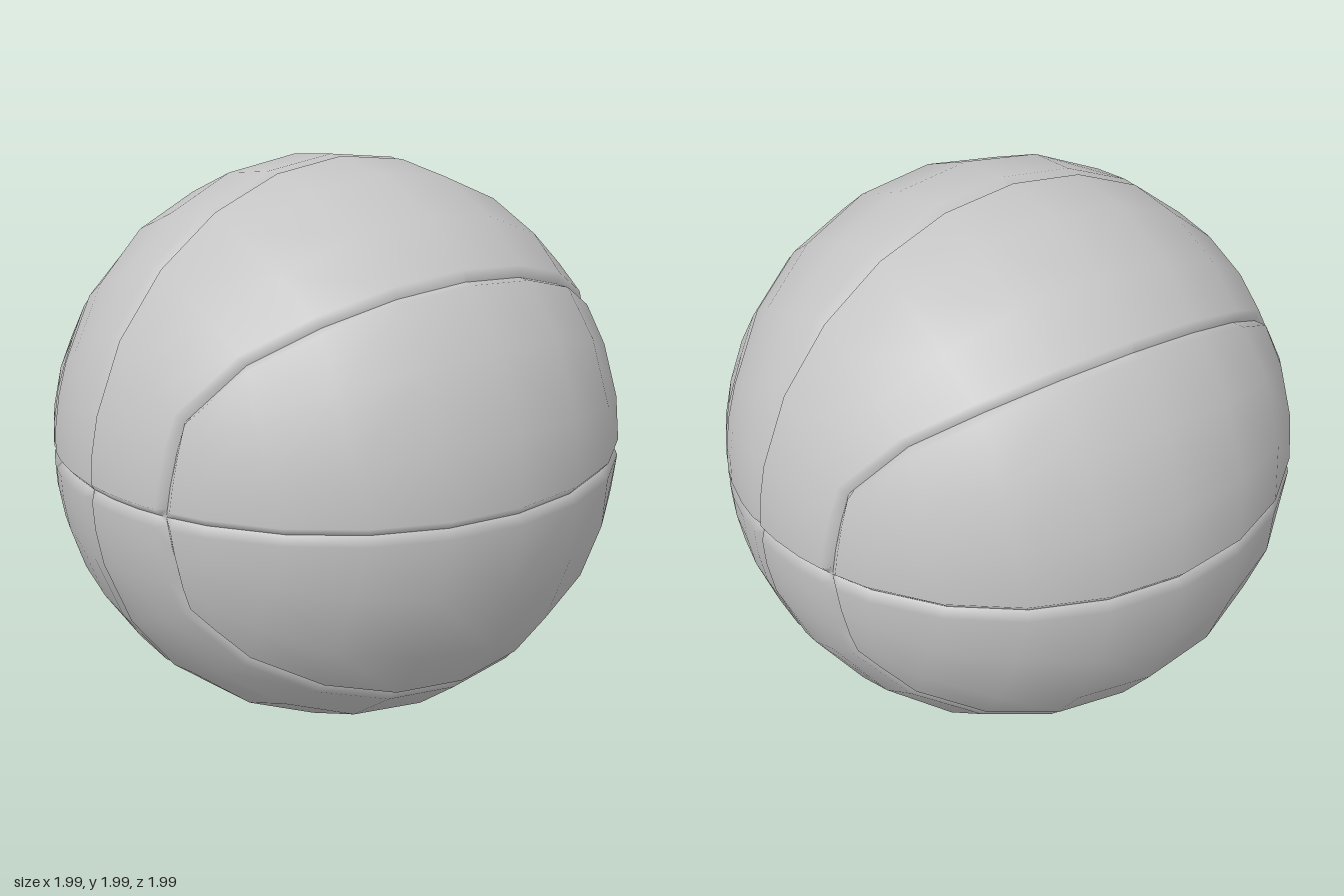
import * as THREE from 'three';

const LIP = 0.03;    // half width of a groove
const FLOOR = 0.97;  // radius at the bottom of a groove
const V = (x, y, z) => new THREE.Vector3(x, y, z);
const rad = THREE.MathUtils.degToRad;

// Point between two directions, on the unit sphere
function mix(a, b, t) {
  if (t === 0) return a.clone();
  if (t === 1) return b.clone();
  return a.clone().lerp(b, t).normalize();
}

// Point a short step from a towards b
const step = (a, b) => a.clone().lerp(b, LIP / a.distanceTo(b));

// Adds a lip beside each grooved border and sinks the border itself
function grooveGrid(rows, g) {
  let out = rows.map((row) => {
    const n = row.length, r = row.slice();
    if (g.right) r.splice(n - 1, 0, step(row[n - 1], row[n - 2]));
    if (g.left) r.splice(1, 0, step(row[0], row[1]));
    return r;
  });
  const n = out.length;
  const first = out[0].map((p, i) => step(p, out[1][i]));
  const last = out[n - 1].map((p, i) => step(p, out[n - 2][i]));
  if (g.top) out.splice(n - 1, 0, last);
  if (g.bottom) out.splice(1, 0, first);
  const R = out.length - 1, C = out[0].length - 1;
  return out.map((row, r) => row.map((p, c) => {
    const sunk = (g.bottom && r === 0) || (g.top && r === R) ||
      (g.left && c === 0) || (g.right && c === C);
    return { p: sunk ? p.clone().multiplyScalar(FLOOR) : p, sunk };
  }));
}

// Panel surface mirrored by the signs sx, sy, sz
function panelGeometry(grid, sx, sy, sz) {
  const cols = grid[0].length, cells = grid.flat(), index = [];
  const flip = sx * sy * sz < 0;
  for (let r = 0; r < grid.length - 1; r++) {
    for (let c = 0; c < cols - 1; c++) {
      const a = r * cols + c, b = a + 1, d = a + cols, e = d + 1;
      if (flip) index.push(a, e, b, a, d, e);
      else index.push(a, b, e, a, e, d);
    }
  }
  const geo = new THREE.BufferGeometry();
  geo.setAttribute('position', new THREE.Float32BufferAttribute(
    cells.flatMap(({ p }) => [p.x * sx, p.y * sy, p.z * sz]), 3));
  geo.setIndex(index);
  geo.computeVertexNormals();
  // Round shading on the panel, wall shading in the groove
  cells.forEach(({ p, sunk }, i) => {
    if (sunk) return;
    const n = p.clone().normalize();
    geo.attributes.normal.setXYZ(i, n.x * sx, n.y * sy, n.z * sz);
  });
  return geo;
}

export function createModel() {
  const group = new THREE.Group();
  group.name = 'ball';
  const grey = new THREE.MeshStandardMaterial({ color: 0xc4c4c4 });
  grey.name = 'grey';

  // Curved seam in one octant, from the equator at the front to the side
  const s0 = V(0.36, 0, 0.933).normalize();
  const s3 = V(0.385, 0.315, 0.867).normalize();
  const diagonal = [45, 60, 75, 90].map((d) =>
    V(Math.sin(rad(d)) * Math.SQRT1_2, Math.sin(rad(d)) * Math.SQRT1_2, Math.cos(rad(d))));
  const seam = [s0, mix(s0, s3, 1 / 3), mix(s0, s3, 2 / 3), s3, ...diagonal];

  // Centre panel: from the middle seam to the curved seam
  const middle = [0, 7.5, 15, 30, 45, 60, 75, 90].map((d) =>
    V(0, Math.sin(rad(d)), Math.cos(rad(d))));
  const centre = grooveGrid(
    middle.map((m, i) => [0, 1, 2, 3].map((k) => mix(m, seam[i], k / 3))),
    { bottom: true, left: true, right: true });

  // End panel: from the equator to the curved seam
  const rim = [s3, s3.clone().lerp(diagonal[0], 0.5), ...diagonal];
  const equator = [s0, ...[30, 45, 60, 75, 90].map((d) =>
    V(Math.sin(rad(d)), 0, Math.cos(rad(d))))];
  // The rim has one station per equator station
  const end = grooveGrid(
    [0, 1, 2, 3].map((k) => equator.map((e, i) => mix(e, rim[i], k / 3))),
    { bottom: true, top: true, left: true });

  // Mirror both panels into all eight octants
  for (const sx of [1, -1]) for (const sy of [1, -1]) for (const sz of [1, -1]) {
    const place = `${sy > 0 ? 'Upper' : 'Lower'}${sz > 0 ? 'Front' : 'Back'}${sx > 0 ? 'Left' : 'Right'}`;
    for (const [name, grid] of [['centrePanel', centre], ['endPanel', end]]) {
      const mesh = new THREE.Mesh(panelGeometry(grid, sx, sy, sz), grey);
      mesh.name = name + place;
      mesh.position.y = 1;
      group.add(mesh);
    }
  }
  return group;
}
